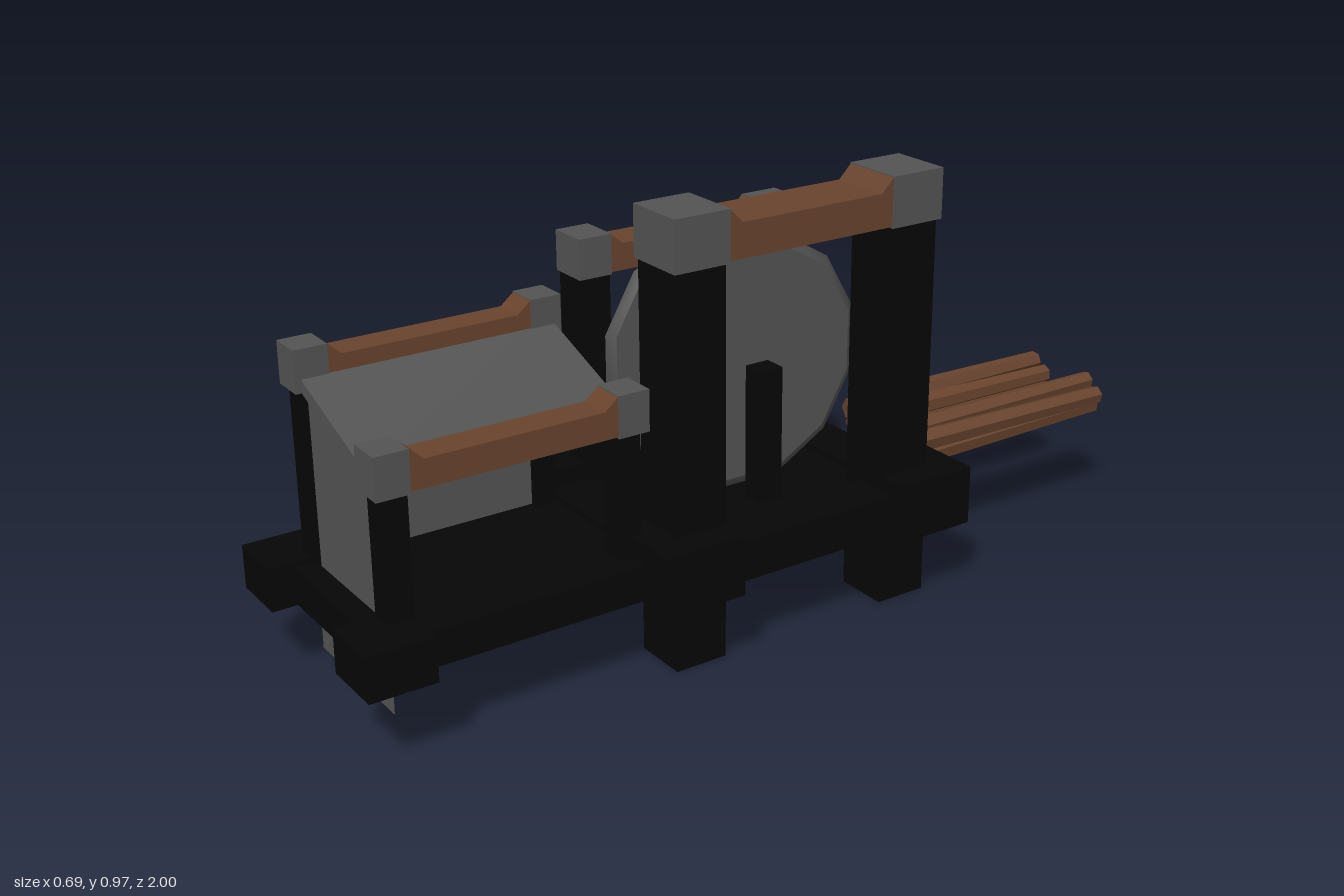
import * as THREE from 'three';

const mat = (name, color) => {
  const m = new THREE.MeshStandardMaterial({ color });
  m.name = name;
  return m;
};

export function createModel() {
  const model = new THREE.Group();
  const black = mat('blackTimber', 0x060606);
  const grey = mat('greyStone', 0x535353);
  const brown = mat('brownWood', 0x68432d);
  const greySheet = mat('greySheet', 0x535353);
  greySheet.side = THREE.DoubleSide;

  const add = (name, geometry, material, parent = model) => {
    const mesh = new THREE.Mesh(geometry, material);
    mesh.name = name;
    parent.add(mesh);
    return mesh;
  };
  // Box given by its limits on each axis
  const box = (name, material, [x0, x1], [y0, y1], [z0, z1]) => {
    const mesh = add(name, new THREE.BoxGeometry(x1 - x0, y1 - y0, z1 - z0), material);
    mesh.position.set((x0 + x1) / 2, (y0 + y1) / 2, (z0 + z1) / 2);
  };
  const polygon = (points) => new THREE.Shape(points.map(([x, y]) => new THREE.Vector2(x, y)));

  // Beam along z between two caps, its ends flaring up to the cap tops
  const beam = (name, [x0, x1], [y0, y1], top, [z0, z1]) => {
    const f = 0.03;
    const outline = [[z0, y0], [z1, y0], [z1, top], [z1 - f, y1], [z0 + f, y1], [z0, top]];
    const g = new THREE.ExtrudeGeometry(polygon(outline.map(([z, y]) => [-z, y])),
      { depth: x1 - x0, bevelEnabled: false });
    add(name, g.rotateY(Math.PI / 2).translate(x0, 0, 0), brown);
  };

  // Two posts with caps, joined by a beam
  const frame = (name, p) => {
    p.postZ.forEach((z) => box(name + 'Post', black, p.postX, [p.bottom, p.capY[0]], z));
    p.capZ.forEach((z) => box(name + 'Cap', grey, p.capX, p.capY, z));
    const inset = 0.002;
    beam(name + 'Beam', [p.capX[0] + inset, p.capX[1] - inset],
      [p.capY[0] + 0.004, p.beamTop], p.capY[1] - 0.002, [p.capZ[0][1], p.capZ[1][0]]);
  };
  frame('tallFrame', {
    postX: [0.152, 0.277], bottom: 0, capX: [0.145, 0.288], capY: [0.86, 0.97], beamTop: 0.938,
    postZ: [[-0.352, -0.23], [0.184, 0.306]], capZ: [[-0.357, -0.226], [0.18, 0.311]],
  });
  frame('shortFrame', {
    postX: [-0.238, -0.15], bottom: 0.166, capX: [-0.242, -0.147], capY: [0.724, 0.814], beamTop: 0.788,
    postZ: [[-0.315, -0.23], [0.184, 0.255]], capZ: [[-0.32, -0.226], [0.18, 0.26]],
  });
  const frontPosts = {
    postZ: [[0.348, 0.4], [0.856, 0.91]], capZ: [[0.332, 0.403], [0.853, 0.925]],
  };
  frame('hearthHighFrame', { ...frontPosts,
    postX: [-0.175, -0.122], bottom: 0.19, capX: [-0.182, -0.107], capY: [0.63, 0.72], beamTop: 0.693 });
  frame('hearthLowFrame', { ...frontPosts,
    postX: [0.156, 0.215], bottom: 0.19, capX: [0.148, 0.226], capY: [0.525, 0.615], beamTop: 0.588 });

  // Rear base: floor, rails and corner blocks
  box('rearFloor', black, [-0.25, 0.25], [0.21, 0.25], [-0.36, 0.33]);
  for (const s of [-1, 1]) {
    const span = (a, b) => (s > 0 ? [a, b] : [-b, -a]);
    box('rearSideRail', black, span(0.2, 0.308), [0.178, 0.268], [-0.34, 0.3]);
    box('rearCornerBlock', black, span(0.16, 0.346), [0.17, 0.303], [-0.42, -0.23]);
    box('middleBlock', black, span(0.16, 0.346), [0.17, 0.303], [0.184, 0.372]);
  }
  box('rearEndRail', black, [-0.17, 0.17], [0.178, 0.262], [-0.385, -0.27]);
  box('middleRail', black, [-0.17, 0.17], [0.178, 0.262], [0.23, 0.348]);

  // Front base
  box('frontFloor', black, [-0.2, 0.21], [0.232, 0.25], [0.33, 0.92]);
  box('frontSideRail', black, [-0.244, -0.165], [0.178, 0.255], [0.36, 0.9]);
  box('frontSideRail', black, [0.185, 0.262], [0.178, 0.255], [0.36, 0.9]);
  box('frontEndRail', black, [-0.16, 0.18], [0.174, 0.255], [0.905, 0.948]);
  box('frontCornerBlock', black, [-0.273, -0.138], [0.17, 0.266], [0.856, 1]);
  box('frontCornerBlock', black, [0.16, 0.302], [0.17, 0.266], [0.856, 1]);

  // Hearth: sloping roof, front sheet and side sheet, open on the low side
  const roof = polygon([[-0.145, 0.643], [0.165, 0.529], [0.165, 0.558], [-0.145, 0.672]]);
  add('hearthRoof', new THREE.ExtrudeGeometry(roof, { depth: 0.565, bevelEnabled: false })
    .translate(0, 0, 0.347), grey);
  const front = polygon([[-0.146, 0.054], [0.18, 0.054], [0.18, 0.525], [-0.146, 0.645]]);
  add('hearthFrontSheet', new THREE.ShapeGeometry(front).translate(0, 0, 0.895), greySheet);
  box('hearthSideSheet', grey, [-0.146, -0.138], [0.146, 0.645], [0.388, 0.893]);

  // Pair of twelve-sided wheels: smooth pointed rims and flat faces
  const rim = new THREE.LatheGeometry([[0.262, -0.012], [0.283, 0], [0.262, 0.012]]
    .map(([r, y]) => new THREE.Vector2(r, y)), 12);
  rim.rotateY(Math.PI / 12).rotateZ(Math.PI / 2);
  const face = new THREE.CircleGeometry(0.262, 12).rotateZ(Math.PI / 12);
  for (const x of [-0.065, 0.078]) {
    const wheel = new THREE.Group();
    wheel.name = 'grindingWheel';
    wheel.position.set(x, 0.551, -0.022);
    add('wheelRim', rim, grey, wheel);
    for (const s of [-1, 1]) {
      const side = add('wheelFace', face, grey, wheel);
      side.position.x = s * 0.012;
      side.rotation.y = s * Math.PI / 2;
    }
    model.add(wheel);
  }

  // Wheel supports and axle
  box('axleSupport', black, [0.093, 0.145], [0.24, 0.552], [-0.056, 0.002]);
  box('axleSupport', black, [-0.135, -0.083], [0.24, 0.552], [-0.056, 0.002]);
  const axle = add('axle', new THREE.CylinderGeometry(0.015, 0.015, 0.2, 8).rotateZ(Math.PI / 2), black);
  axle.position.set(0.005, 0.525, -0.027);

  // Two bundles of rough, slightly skewed logs
  let seed = 7;
  const rand = () => ((seed = (seed * 16807) % 2147483647) / 2147483647 - 0.5);
  for (const x of [-0.06, 0.118]) {
    const bundle = new THREE.Group();
    bundle.name = 'logBundle';
    bundle.position.set(x, 0.277, -0.718);
    bundle.rotation.y = -0.025;
    for (let i = 0; i < 5; i++) {
      const a = (i / 5) * Math.PI * 2 + 0.3;
      const g = new THREE.CylinderGeometry(0.022, 0.027, 0.556, 6).toNonIndexed();
      g.rotateX(-Math.PI / 2).rotateZ(rand() * 2);
      g.computeVertexNormals();
      const log = add('log', g, brown, bundle);
      log.position.set(Math.cos(a) * 0.037, Math.sin(a) * 0.031, rand() * 0.006);
      log.rotation.set(rand() * 0.03, rand() * 0.03, 0);
    }
    model.add(bundle);
  }
  return model;
}
